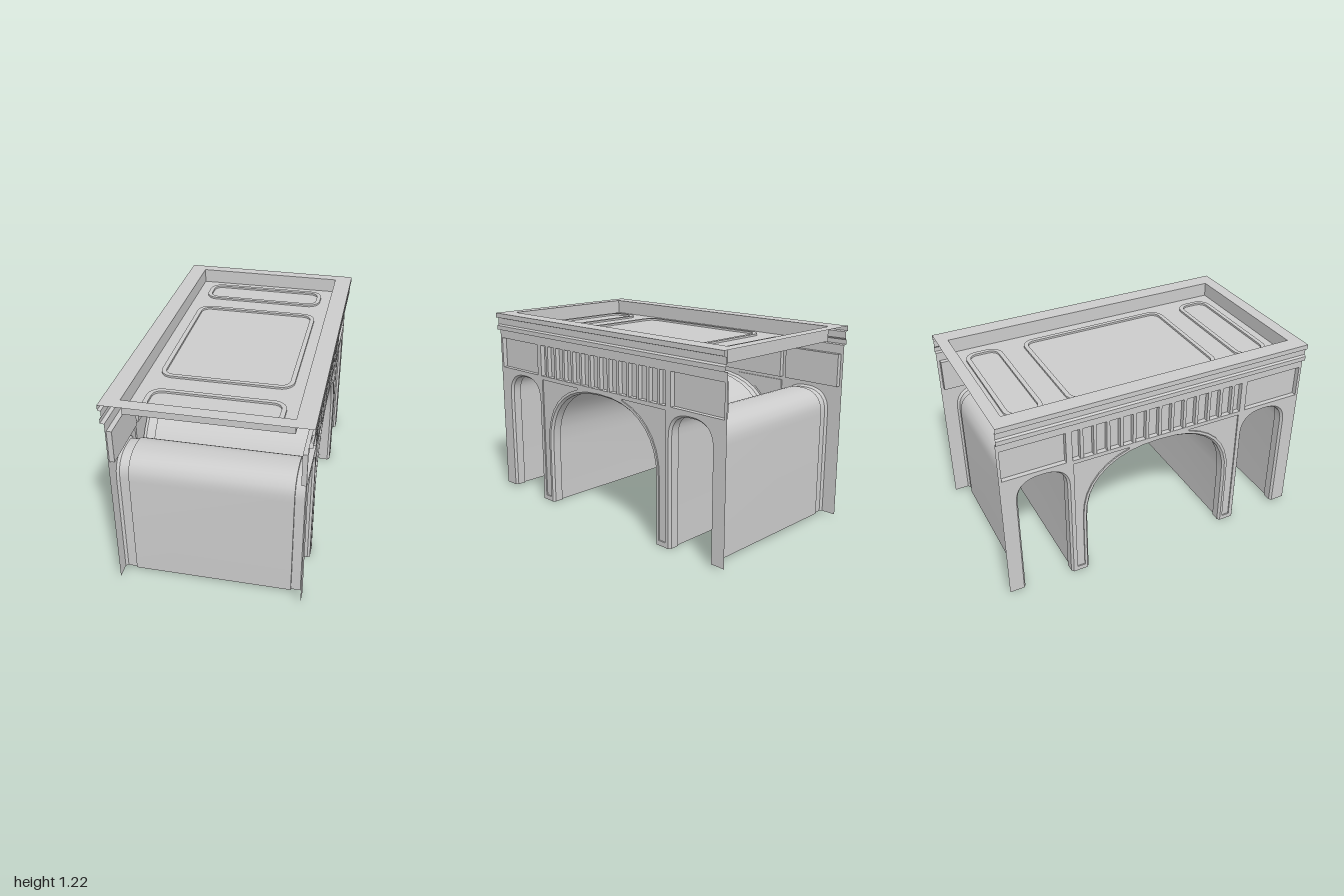
import * as THREE from 'three';
import { toCreasedNormals } from 'three/addons/utils/BufferGeometryUtils.js';

const material = new THREE.MeshStandardMaterial({ color: 0xcccccc, side: THREE.DoubleSide });
const V2 = (x, y) => new THREE.Vector2(x, y);

function add(parent, name, geometry) {
  const mesh = new THREE.Mesh(geometry, material);
  mesh.name = name;
  parent.add(mesh);
  return mesh;
}

// Skin a list of equal-length rows of [x, y, z] points
function loft(rows) {
  const n = rows[0].length, index = [];
  for (let r = 0; r < rows.length - 1; r++) {
    for (let i = 0; i < n - 1; i++) {
      const a = r * n + i, b = a + n;
      index.push(a, b, a + 1, b, b + 1, a + 1);
    }
  }
  const g = new THREE.BufferGeometry();
  g.setAttribute('position', new THREE.Float32BufferAttribute(rows.flat(2), 3));
  g.setIndex(index);
  return toCreasedNormals(g, 0.6);
}

// Arch outline from one foot to the other, grown by an offset
const N = 18;
function archPoints({ c, half, spring, rise, n }, off) {
  const pts = [];
  const foot = (u) => V2(u, Math.abs(u) > 0.8 ? 0.015 : 0);
  pts.push(foot(c - half - off));
  for (let i = 0; i <= N; i++) {
    const t = Math.PI * (1 - i / N), co = Math.cos(t), si = Math.max(0, Math.sin(t));
    pts.push(V2(
      c + Math.sign(co) * Math.abs(co) ** (2 / n) * (half + off),
      spring + si ** (2 / n) * (rise + off)));
  }
  pts.push(foot(c + half + off));
  return pts;
}

const middleArch = { c: 0, half: 0.476, spring: 0.4, rise: 0.41, n: 2.35 };
const sideArch = (c) => ({ c, half: 0.1525, spring: 0.67, rise: 0.14, n: 2.5 });
const arches = [sideArch(-0.745), middleArch, sideArch(0.745)];
const FACE = 0.545, FLARE = 0.012;

const rect = (u0, u1, v0, v1) => [V2(u0, v0), V2(u1, v0), V2(u1, v1), V2(u0, v1)];

// Flat shape drawn in (u, v), standing at x with u running along -z
const wallSheet = (shape, x) =>
  new THREE.ShapeGeometry(shape).rotateY(Math.PI / 2).translate(x, 0, 0);

function roundedRect(x0, x1, y0, y1, r, Type = THREE.Shape) {
  const s = new Type();
  s.absarc(x1 - r, y1 - r, r, 0, Math.PI / 2);
  s.absarc(x0 + r, y1 - r, r, Math.PI / 2, Math.PI);
  s.absarc(x0 + r, y0 + r, r, Math.PI, Math.PI * 1.5);
  s.absarc(x1 - r, y0 + r, r, Math.PI * 1.5, Math.PI * 2);
  s.closePath();
  return s;
}

function createFacade() {
  const side = new THREE.Group();
  side.name = 'facade';

  // Wall with three arch openings
  const wall = new THREE.Shape([
    V2(-1, 0.015), ...arches.flatMap((a) => archPoints(a, FLARE)),
    V2(1, 0.015), V2(1, 1.105), V2(-1, 1.105)]);

  // Recessed panels: two end panels, the ribbed frieze and two spandrels
  const curve = archPoints(middleArch, 0.028).filter((p) => p.u !== 0 && p.x > 0.2);
  curve[curve.length - 1].y = 0.03;
  const spandrel = [V2(0.2, 0.825), ...curve, V2(0.555, 0.03), V2(0.555, 0.825)];
  const mirrored = spandrel.map((p) => V2(-p.x, p.y)).reverse();
  const recesses = [
    ['endPanel', rect(-0.982, -0.598, 0.85, 1.05), 0.03],
    ['endPanel', rect(0.598, 0.982, 0.85, 1.05), 0.03],
    ['frieze', rect(-0.56, 0.56, 0.85, 1.05), 0.03],
    ['spandrel', spandrel, 0.008],
    ['spandrel', mirrored, 0.008]];
  for (const [name, pts, depth] of recesses) {
    wall.holes.push(new THREE.Path(pts));
    add(side, name + 'Back', wallSheet(new THREE.Shape(pts), FACE - depth));
    const ring = [...pts, pts[0]];
    add(side, name + 'Edge', loft([FACE, FACE - depth].map((x) => ring.map((p) => [x, p.y, -p.x]))));
  }
  add(side, 'wall', wallSheet(wall, FACE));

  // Upright ribs in the frieze
  for (let i = 0; i < 13; i++) {
    const rib = add(side, 'friezeRib', new THREE.BoxGeometry(0.028, 0.2, 0.02));
    rib.position.set(FACE - 0.016, 0.95, (i - 6) * 0.0835);
  }

  // Moulded cornice
  const profile = [
    [0.575, 1.22], [0.575, 1.19], [0.557, 1.185], [0.557, 1.145],
    [0.568, 1.135], [0.568, 1.108], [FACE, 1.105]];
  add(side, 'cornice', loft([1, -1].map((z) => profile.map(([x, y]) => [x, y, z]))));
  return side;
}

export function createModel() {
  const model = new THREE.Group();
  model.name = 'archway';

  // Two matching long facades
  const left = createFacade(), right = createFacade();
  right.rotation.y = Math.PI;
  model.add(left, right);

  // Vaulted passages with a narrower flared band at both mouths
  const half = [[FACE, FLARE], [0.53, 0], [0.475, 0], [0.474, 0.01]];
  const stations = [...half, ...half.map(([x, o]) => [-x, o]).reverse()];
  for (const a of arches) {
    add(model, 'vault', loft(stations.map(([x, o]) => archPoints(a, o).map((p) => [x, p.y, -p.x]))));
  }

  // Ceiling lamps in the middle passage
  for (const x of [-0.225, 0.225]) {
    add(model, 'ceilingLamp', new THREE.BoxGeometry(0.12, 0.016, 0.04)).position.set(x, 0.815, 0);
  }

  // Roof deck, parapet and flat rim
  const deck = rect(-0.472, 0.467, -0.922, 0.93);
  add(model, 'roofDeck', new THREE.ShapeGeometry(new THREE.Shape(deck)).rotateX(-Math.PI / 2).translate(0, 1.13, 0));
  const ring = [...deck, deck[0]];
  add(model, 'parapet', loft([1.22, 1.13].map((y) => ring.map((p) => [p.x, y, -p.y]))));
  const rim = new THREE.Shape(rect(-0.575, 0.575, -1, 1));
  rim.holes.push(new THREE.Path(deck));
  add(model, 'roofRim', new THREE.ShapeGeometry(rim).rotateX(-Math.PI / 2).translate(0, 1.22, 0));

  // Raised frames on the deck
  for (const [y0, y1, r] of [[-0.49, 0.495, 0.08], [-0.86, -0.635, 0.08], [0.64, 0.87, 0.08]]) {
    const frame = roundedRect(-0.398, 0.387, y0, y1, r);
    frame.holes.push(roundedRect(-0.37, 0.36, y0 + 0.027, y1 - 0.027, r - 0.027, THREE.Path));
    const g = new THREE.ExtrudeGeometry(frame, { depth: 0.012, bevelEnabled: false, curveSegments: 8 });
    add(model, 'roofFrame', toCreasedNormals(g.rotateX(-Math.PI / 2).translate(0, 1.13, 0), 0.6));
  }
  return model;
}
